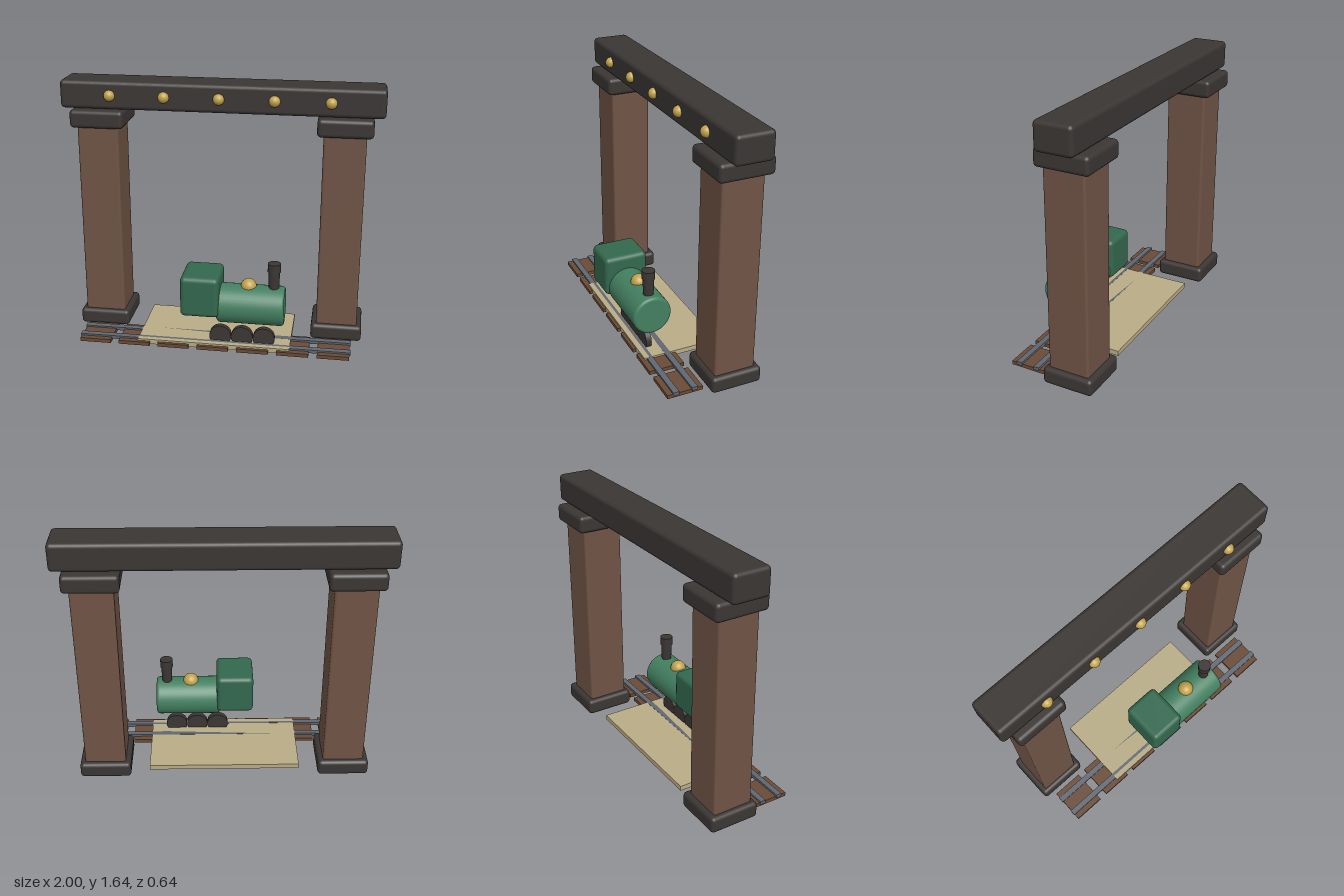
import * as THREE from 'three';
import { RoundedBoxGeometry } from 'three/addons/geometries/RoundedBoxGeometry.js';

const mat = (color) => new THREE.MeshStandardMaterial({ color });
const iron = mat(0x3a3634);
const brick = mat(0x6f5345);
const brass = mat(0xc2a24c);
const wood = mat(0x694a36);
const steel = mat(0x606771);
const stone = mat(0xb8ac86);
const boilerGreen = mat(0x437f60);
const cabGreen = mat(0x33684e);

export function createModel() {
  const model = new THREE.Group();
  model.name = 'railwayArch';

  const add = (parent, name, geometry, material, x, y, z) => {
    const mesh = new THREE.Mesh(geometry, material);
    mesh.name = name;
    mesh.position.set(x, y, z);
    parent.add(mesh);
    return mesh;
  };
  const block = (w, h, d, r) => new RoundedBoxGeometry(w, h, d, 3, r);

  // Archway: two pillars with bases and caps, carrying a beam
  const arch = new THREE.Group();
  arch.name = 'archway';
  model.add(arch);
  for (const side of [-1, 1]) {
    const x = side * 0.765;
    add(arch, 'pillarBase', block(0.325, 0.105, 0.325, 0.025), iron, x, 0.053, -0.147);
    add(arch, 'pillar', block(0.26, 1.29, 0.262, 0.015), brick, x, 0.73, -0.144);
    add(arch, 'pillarCap', block(0.338, 0.113, 0.343, 0.025), iron, x, 1.408, -0.147);
  }
  add(arch, 'beam', block(2, 0.176, 0.24, 0.025), iron, 0, 1.553, -0.146);
  for (let i = 0; i < 5; i++) {
    add(arch, 'beamStud', new THREE.SphereGeometry(0.035, 20, 14), brass, -0.685 + i * 0.34, 1.553, -0.026);
  }

  // Track: sleepers, two rails and the platform slab
  const track = new THREE.Group();
  track.name = 'track';
  model.add(track);
  for (let i = -3; i <= 3; i++) {
    add(track, 'sleeper', new THREE.BoxGeometry(0.2, 0.024, 0.23), wood, i * 0.253, 0.018, 0.16);
  }
  add(track, 'platform', new THREE.BoxGeometry(0.97, 0.032, 0.5), stone, 0, 0.026, 0.005);
  const backRail = add(track, 'backRail', new THREE.BoxGeometry(1.73, 0.022, 0.037), steel, 0, 0.031, 0.1);
  backRail.rotation.set(0.04, 0, 0.002);
  const frontRail = add(track, 'frontRail', new THREE.BoxGeometry(1.73, 0.022, 0.037), steel, 0, 0.031, 0.22);
  frontRail.rotation.x = 0.04;

  // Small locomotive facing +x
  const engine = new THREE.Group();
  engine.name = 'locomotive';
  engine.position.z = 0.18;
  model.add(engine);

  // Boiler with softly rounded rims
  const profile = [new THREE.Vector2(0, -0.21)];
  for (const end of [-1, 1]) {
    for (let i = 0; i <= 4; i++) {
      const a = ((end < 0 ? i : 4 - i) / 4) * Math.PI / 2;
      profile.push(new THREE.Vector2(0.105 + 0.02 * Math.sin(a), end * (0.19 + 0.02 * Math.cos(a))));
    }
  }
  profile.push(new THREE.Vector2(0, 0.21));
  const boiler = add(engine, 'boiler', new THREE.LatheGeometry(profile, 40), boilerGreen, 0.235, 0.305, 0);
  boiler.rotation.z = -Math.PI / 2;

  add(engine, 'cab', block(0.24, 0.262, 0.284, 0.03), cabGreen, -0.075, 0.386, 0.002);
  add(engine, 'steamDome', new THREE.SphereGeometry(0.05, 24, 16), brass, 0.217, 0.424, -0.005);

  // Chimney stack with a wider lip
  add(engine, 'chimney', new THREE.CylinderGeometry(0.037, 0.032, 0.16, 24), iron, 0.375, 0.495, 0);
  add(engine, 'chimneyLip', block(0.08, 0.055, 0.08, 0.039).clone(), iron, 0.375, 0.562, 0).geometry =
    new THREE.CylinderGeometry(0.041, 0.041, 0.055, 24);

  for (let i = 0; i < 3; i++) {
    const wheel = add(engine, 'wheel', new THREE.CylinderGeometry(0.069, 0.069, 0.036, 28), iron, 0.04 + i * 0.139, 0.074, 0);
    wheel.rotation.x = Math.PI / 2;
  }

  return model;
}
